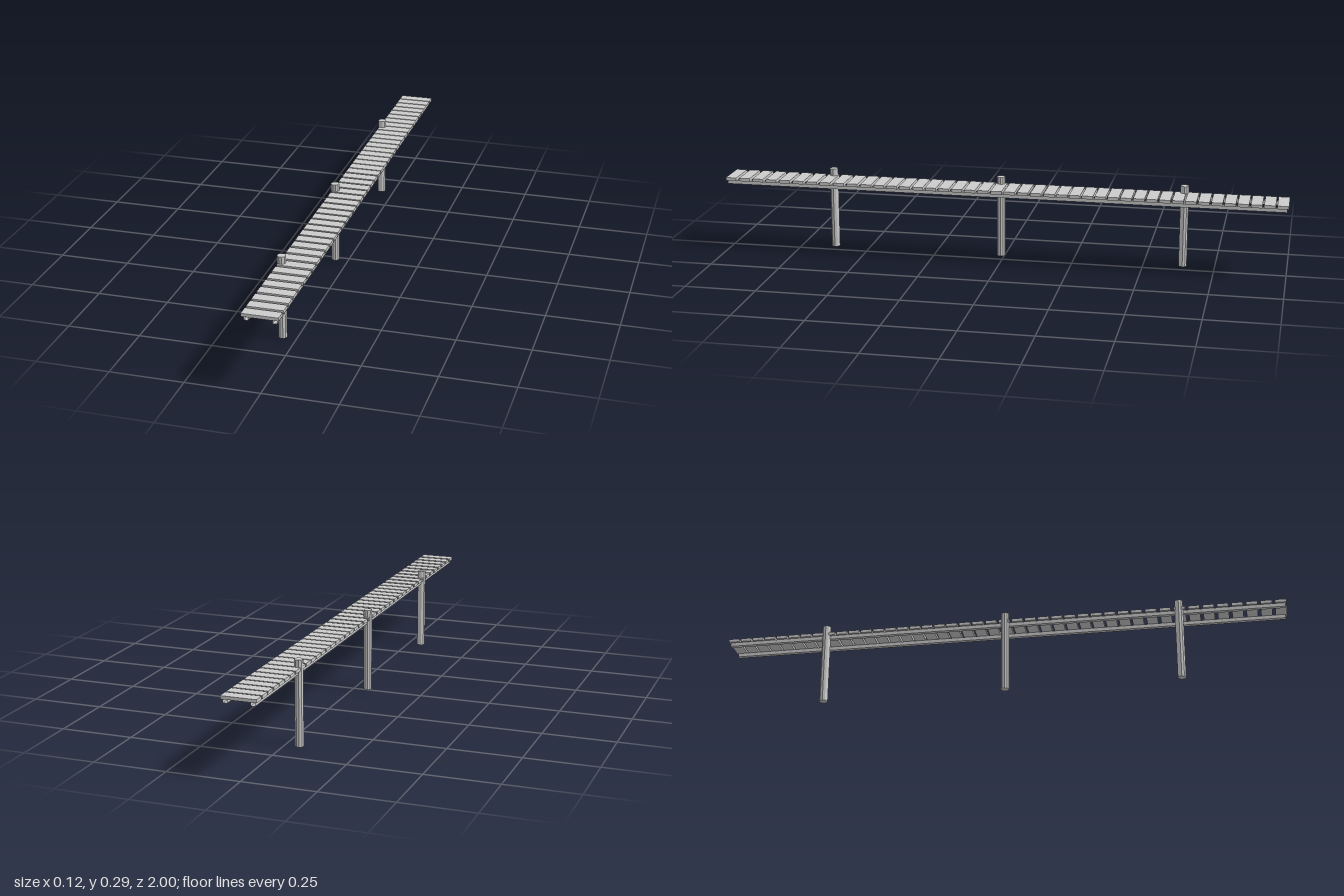
import * as THREE from 'three';

export function createModel() {
  const group = new THREE.Group();
  const wood = new THREE.MeshStandardMaterial({ color: 0xcccccc, flatShading: true });
  const hollowWood = wood.clone();
  hollowWood.side = THREE.DoubleSide;

  const add = (geometry, material, name, x, y, z) => {
    const mesh = new THREE.Mesh(geometry, material);
    mesh.name = name;
    mesh.position.set(x, y, z);
    group.add(mesh);
  };

  // Deck planks: even width, with gaps that widen towards the front
  const plank = new THREE.BoxGeometry(0.12, 0.011, 0.039);
  const runs = [[18, 0.0446], [14, 0.047], [10, 0.05]];
  let z = -0.9805;
  add(plank, wood, 'plank', 0.002, 0.2615, z);
  for (const [count, step] of runs) {
    for (let i = 0; i < count; i++) {
      z += step;
      add(plank, wood, 'plank', 0.002, 0.2615, z);
    }
  }

  // Two long beams under the deck: four-sided sleeves with open ends
  const beam = new THREE.CylinderGeometry(Math.SQRT1_2, Math.SQRT1_2, 1, 4, 1, true)
    .rotateY(Math.PI / 4)
    .rotateX(Math.PI / 2)
    .scale(0.014, 0.013, 1.99);
  add(beam, hollowWood, 'rightBeam', -0.043, 0.2495, 0);
  add(beam, hollowWood, 'leftBeam', 0.048, 0.2495, 0);

  // Ten-sided posts along the right edge, standing proud of the deck
  const post = new THREE.CylinderGeometry(0.015, 0.015, 0.292, 10).rotateY(Math.PI / 2);
  for (const pz of [-0.638, 0.013, 0.628]) {
    add(post, wood, 'post', -0.048, 0.146, pz);
  }

  return group;
}
